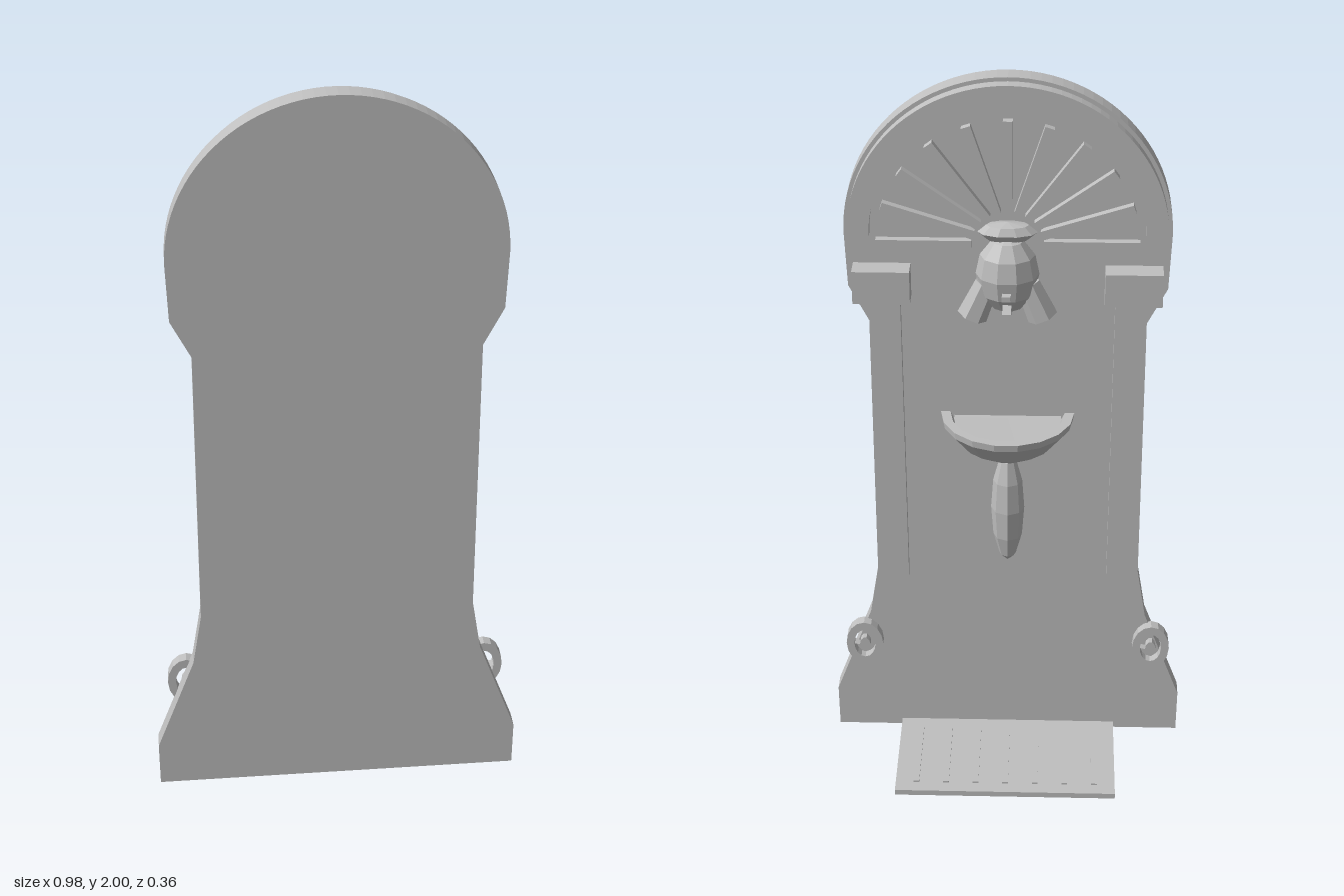
import * as THREE from 'three';

// The carved side of this wall fountain faces -z.
export function createModel() {
  const root = new THREE.Group();
  root.name = 'wallFountain';
  const stone = new THREE.MeshStandardMaterial({ color: 0xbfbfbf, flatShading: true });
  stone.name = 'stone';

  const add = (name, geo, x = 0, y = 0, z = 0, parent = root) => {
    const m = new THREE.Mesh(geo, stone);
    m.name = name;
    m.position.set(x, y, z);
    parent.add(m);
    return m;
  };
  // box given by its limits
  const block = (name, x0, x1, y0, y1, z0, z1) =>
    add(name, new THREE.BoxGeometry(x1 - x0, y1 - y0, z1 - z0), (x0 + x1) / 2, (y0 + y1) / 2, (z0 + z1) / 2);
  const extrude = (shape, depth, curveSegments = 12) =>
    new THREE.ExtrudeGeometry(shape, { depth, bevelEnabled: false, curveSegments });

  // Back slab: flared foot, straight shaft, round head
  const side = [[0.49, 0], [0.49, 0.13], [0.385, 0.41], [0.36, 0.56], [0.355, 1.34], [0.405, 1.44]];
  const slab = new THREE.Shape();
  side.forEach(([x, y], i) => (i ? slab.lineTo(x, y) : slab.moveTo(x, y)));
  slab.absarc(0, 1.59, 0.41, 0, Math.PI, false);
  side.slice().reverse().forEach(([x, y]) => slab.lineTo(-x, y));
  add('backSlab', extrude(slab, 0.05, 24), 0, 0, 0.13);

  // Raised arch around the head
  const arch = new THREE.Shape();
  arch.absarc(0, 1.59, 0.4, 0, Math.PI, false);
  arch.absarc(0, 1.59, 0.345, Math.PI, 0, true);
  add('archMoulding', extrude(arch, 0.035, 24), 0, 0, 0.1);

  // Fan of rays
  const fan = new THREE.Group();
  fan.name = 'rayFan';
  root.add(fan);
  for (let i = 0; i < 11; i++) {
    const a = (i * Math.PI) / 10;
    const ray = add('ray', new THREE.BoxGeometry(0.24, 0.024, 0.022), Math.cos(a) * 0.21, 1.565 + Math.sin(a) * 0.21, 0.122, fan);
    ray.rotation.z = a;
  }

  // Pilasters, capitals and side scrolls
  for (const s of [1, -1]) {
    const p = add('pilaster', new THREE.BoxGeometry(0.075, 0.87, 0.025), s * 0.31, 0.985, 0.1215);
    p.name = s > 0 ? 'leftPilaster' : 'rightPilaster';
    add('capital', new THREE.BoxGeometry(0.145, 0.09, 0.06), s * 0.3175, 1.46, 0.105);

    const ring = new THREE.Shape();
    ring.absellipse(0, 0, 0.052, 0.073, 0, Math.PI * 2, false);
    const hole = new THREE.Path();
    hole.absellipse(0, 0, 0.03, 0.047, 0, Math.PI * 2, true);
    ring.holes.push(hole);
    add('scrollRing', extrude(ring, 0.03, 8), s * 0.404, 0.313, 0.105);
    const core = new THREE.Shape();
    core.absellipse(0, 0, 0.015, 0.025, 0, Math.PI * 2, false);
    core.lineTo(0.04, 0.006);
    add('scrollCore', extrude(core, 0.025, 5), s * 0.404, 0.305, 0.11);
  }

  // Mask with brow, cheeks and spout
  const face = add('maskFace', new THREE.SphereGeometry(1, 10, 6), 0, 1.495, 0.1);
  face.scale.set(0.08, 0.105, 0.068);
  const brow = add('maskBrow', new THREE.SphereGeometry(1, 10, 4), 0, 1.607, 0.105);
  brow.scale.set(0.075, 0.027, 0.035);
  for (const s of [1, -1]) {
    const cheek = add('maskCheek', new THREE.CylinderGeometry(0.032, 0.04, 0.1, 7), s * 0.07, 1.425, 0.095);
    cheek.rotation.z = s * 0.4;
  }
  block('spout', -0.011, 0.011, 1.41, 1.43, 0, 0.1);
  block('spoutTip', -0.011, 0.011, 1.478, 1.492, -0.025, -0.005);

  // Half-round basin, slightly hollowed on top
  const profile = [[0, 0.95], [0.065, 0.96], [0.125, 1.0], [0.172, 1.06], [0.175, 1.08], [0.15, 1.08], [0.142, 1.062], [0, 1.06]]
    .map(([r, y]) => new THREE.Vector2(r, y));
  const basin = add('basin', new THREE.LatheGeometry(profile, 9, Math.PI / 2, Math.PI), 0, 0, 0.115);
  basin.scale.z = 0.97;
  block('basinBack', -0.14, 0.14, 1.03, 1.06, 0.112, 0.135);

  // Drop ornament under the basin
  const drop = add('dropOrnament', new THREE.SphereGeometry(1, 8, 6), 0, 0.775, 0.125);
  drop.scale.set(0.045, 0.175, 0.045);

  // Floor grate with thin bars
  block('grate', -0.307, 0.307, 0.003, 0.02, -0.18, 0.135);
  for (let i = 0; i < 7; i++) {
    const x = (i - 3) * 0.083;
    block('grateBar', x - 0.008, x + 0.008, 0.019, 0.025, -0.145, 0.1);
  }
  return root;
}
